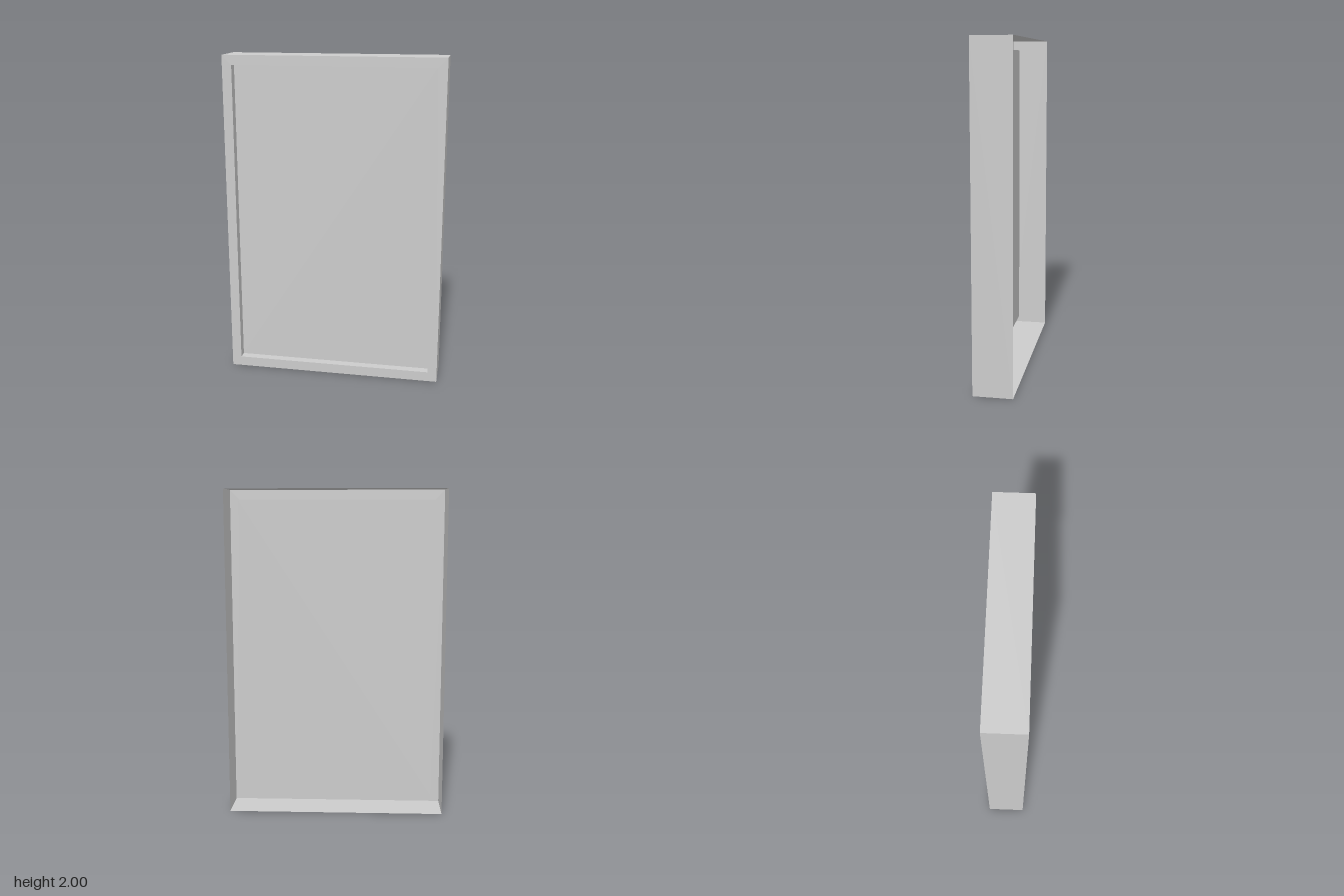
import * as THREE from 'three';

const W = 0.665, H = 1;           // outer half width and half height
const IW = 0.607, IH = 0.94;      // half size of the recessed opening
const FRONT = 0.117, BACK = -0.117, RECESS = 0.064;

const material = new THREE.MeshStandardMaterial({ color: 0xcccccc, side: THREE.DoubleSide });

// Rectangular cross-section, counter-clockwise seen from the front
const ring = (w, h, z) => [[-w, -h, z], [w, -h, z], [w, h, z], [-w, h, z]];

// Four flat faces joining two rectangular cross-sections
function band(name, a, b) {
  const positions = [];
  for (let i = 0; i < 4; i++) {
    const j = (i + 1) % 4;
    for (const p of [a[i], a[j], b[j], a[i], b[j], b[i]]) positions.push(...p);
  }
  const geometry = new THREE.BufferGeometry();
  geometry.setAttribute('position', new THREE.Float32BufferAttribute(positions, 3));
  geometry.computeVertexNormals();
  const mesh = new THREE.Mesh(geometry, material);
  mesh.name = name;
  return mesh;
}

export function createModel() {
  const group = new THREE.Group();
  group.name = 'framedPanel';

  // Thin shell, open at the back
  const outerFront = ring(W, H, FRONT);
  const innerFront = ring(IW, IH, FRONT);
  const innerBack = ring(IW, IH, RECESS);
  group.add(
    band('outerWalls', ring(W, H, BACK), outerFront),
    band('frontBorder', outerFront, innerFront),
    band('recessWalls', innerFront, innerBack)
  );

  // Flat panel at the bottom of the recess
  const panel = new THREE.Mesh(new THREE.PlaneGeometry(2 * IW, 2 * IH), material);
  panel.name = 'panel';
  panel.position.z = RECESS;
  group.add(panel);

  // Stand on the ground
  for (const part of group.children) part.position.y = H;
  return group;
}
